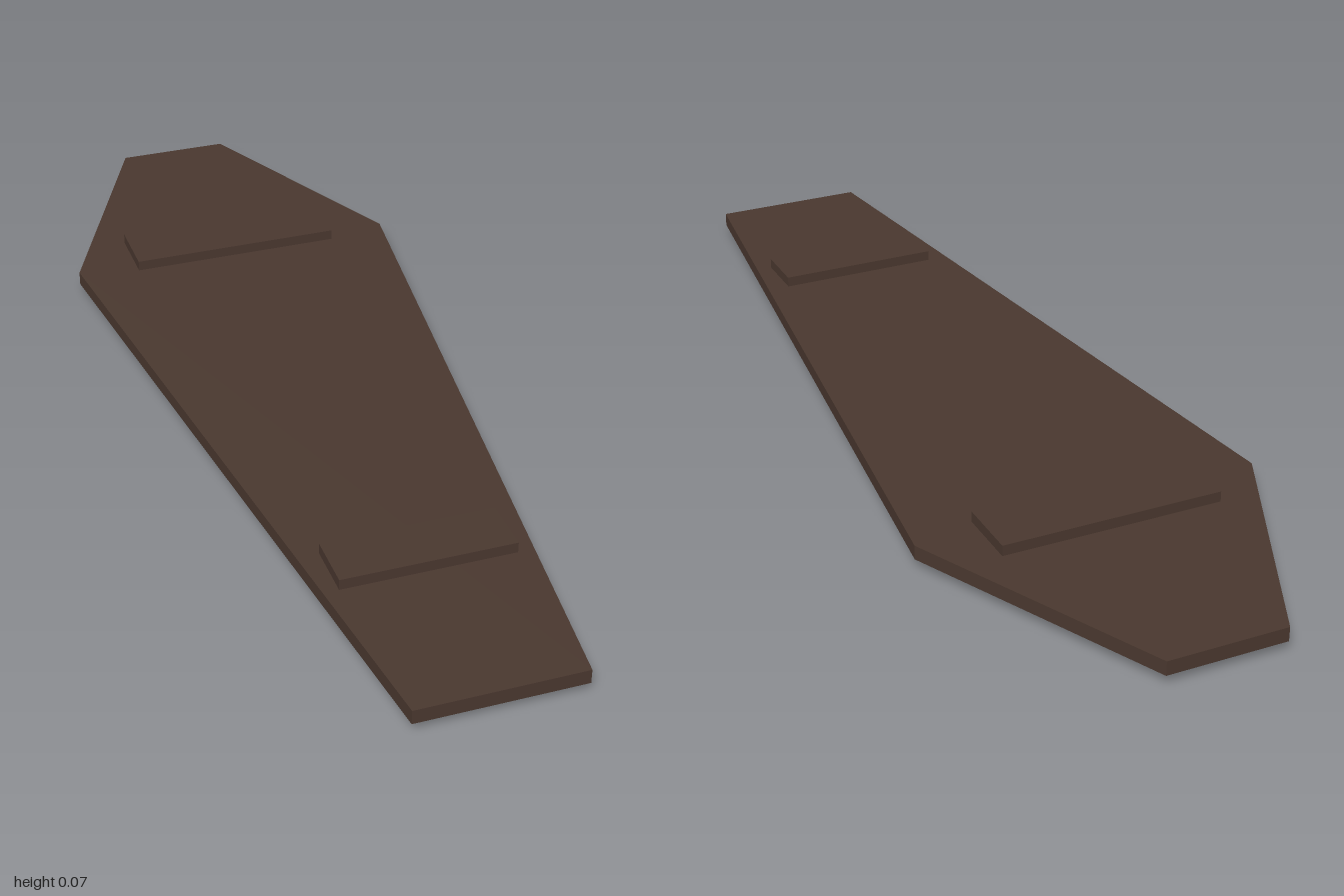
import * as THREE from 'three';

export function createModel() {
  const group = new THREE.Group();
  const wood = new THREE.MeshStandardMaterial({ color: 0x4a382f });
  wood.name = 'darkWood';

  const add = (name, geometry) => {
    const mesh = new THREE.Mesh(geometry, wood);
    mesh.name = name;
    group.add(mesh);
    return mesh;
  };

  // Six-sided lid board: half widths at each z, mirrored across x
  const half = [[0.157, 1], [0.34, -0.515], [0.115, -1]];
  const mirrored = half.map(([x, z]) => [-x, z]).reverse();
  const outline = [...half, ...mirrored].map(([x, z]) => new THREE.Vector2(x, -z));
  const board = new THREE.ExtrudeGeometry(new THREE.Shape(outline), { depth: 0.028, bevelEnabled: false });
  board.rotateX(-Math.PI / 2);
  add('lidBoard', board).position.y = 0.021;

  // Cross battens passing through the board, showing above and below
  const batten = (name, x, z, width, depth) =>
    add(name, new THREE.BoxGeometry(width, 0.07, depth)).position.set(x, 0.035, z);
  batten('headBatten', 0, -0.547, 0.434, 0.125);
  batten('footBatten', -0.001, 0.62, 0.332, 0.108);

  return group;
}
